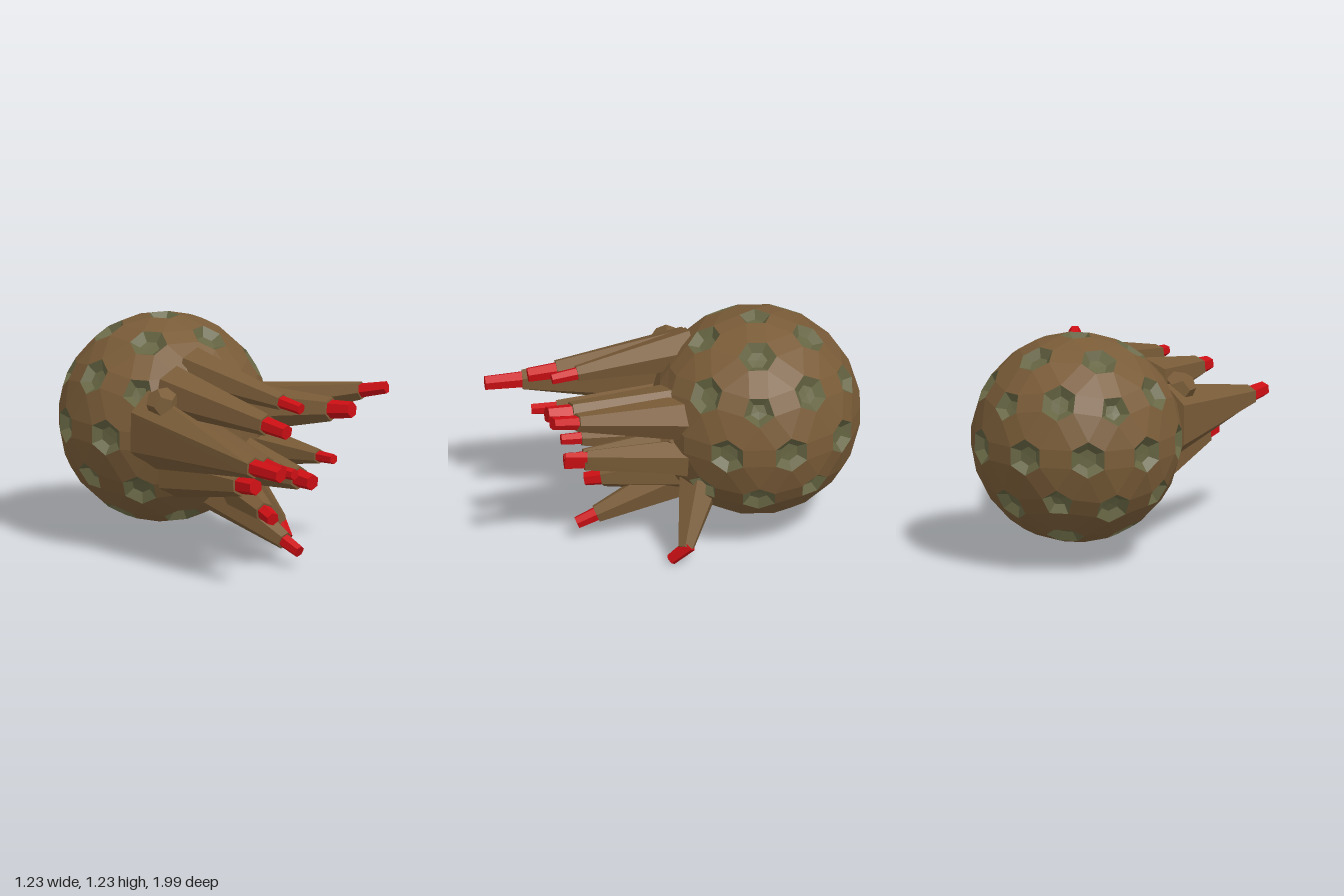
import * as THREE from 'three';

const mat = (color) => new THREE.MeshStandardMaterial({ color, flatShading: true, roughness: 0.9 });
const V = (x, y, z) => new THREE.Vector3(x, y, z);

const CENTER = V(-0.05, 0.68, -0.44);
const RADIUS = 0.565;

// Builds a flat-shaded mesh from a list of polygons, each turned outward from the ball
function polygonMesh(name, polygons, material) {
  const points = [];
  for (const poly of polygons) {
    const n = V(0, 0, 0).crossVectors(poly[1].clone().sub(poly[0]), poly[2].clone().sub(poly[0]));
    const p = n.dot(poly[0]) < 0 ? [...poly].reverse() : poly;
    for (let i = 1; i < p.length - 1; i++) points.push(p[0], p[i], p[i + 1]);
  }
  const geometry = new THREE.BufferGeometry().setFromPoints(points);
  geometry.computeVertexNormals();
  const mesh = new THREE.Mesh(geometry, material);
  mesh.name = name;
  return mesh;
}

// Faceted ball with a sunken pit around each corner of a subdivided icosahedron
function makeBody(brown, green) {
  const base = new THREE.IcosahedronGeometry(1, 1).rotateZ(-Math.atan(2 / (1 + Math.sqrt(5))));
  const pos = base.attributes.position;
  const shell = [], pits = [], edges = new Map();
  const key = (v) => v.toArray().map((n) => Math.round(n * 100) + 0).join();
  const onBall = (v, r = RADIUS) => v.clone().normalize().multiplyScalar(r);

  for (let i = 0; i < pos.count; i += 3) {
    const corners = [0, 1, 2].map((k) => V(0, 0, 0).fromBufferAttribute(pos, i + k));
    const mid = V(0, 0, 0).add(corners[0]).add(corners[1]).add(corners[2]).divideScalar(3);
    const rim = corners.map((c) => onBall(c.clone().lerp(mid, 0.52)));
    const floor = corners.map((c) => onBall(c.clone().lerp(mid, 0.3), RADIUS - 0.045));
    shell.push(rim);
    for (let k = 0; k < 3; k++) {
      const ends = [k, (k + 1) % 3].map((j) => ({ id: key(corners[j]), c: corners[j], rim: rim[j], floor: floor[j] }));
      ends.sort((a, b) => (a.id < b.id ? -1 : 1));
      const id = ends[0].id + '|' + ends[1].id;
      if (!edges.has(id)) { edges.set(id, ends); continue; }
      const other = edges.get(id);
      shell.push([ends[0].rim, ends[1].rim, other[1].rim, other[0].rim]);
      ends.forEach((e, j) => {
        const o = other[j];
        if (e.c.z > 0.8) { // no pits where the spikes grow
          shell.push([e.rim, o.rim, onBall(e.c, RADIUS - 0.01)]);
          return;
        }
        pits.push([e.rim, o.rim, o.floor, e.floor]);
        pits.push([e.floor, o.floor, onBall(e.c, RADIUS - 0.05)]);
      });
    }
  }
  const group = new THREE.Group();
  group.name = 'body';
  group.add(polygonMesh('shell', shell, brown), polygonMesh('pits', pits, green));
  group.position.copy(CENTER);
  return group;
}

// Tapered six-sided prism between two points, optionally taller at its root
function prism(name, a, b, ra, rb, material, stretch = 1) {
  const dir = b.clone().sub(a);
  const geometry = new THREE.CylinderGeometry(rb, ra, dir.length(), 6);
  geometry.translate(0, dir.length() / 2, 0);
  geometry.applyQuaternion(new THREE.Quaternion().setFromUnitVectors(V(0, 1, 0), dir.clone().normalize()));
  const p = geometry.attributes.position;
  for (let i = 0; i < p.count; i++) {
    const v = V(0, 0, 0).fromBufferAttribute(p, i);
    if (v.dot(dir) < dir.lengthSq() / 2) p.setY(i, v.y * stretch);
  }
  geometry.computeVertexNormals();
  const mesh = new THREE.Mesh(geometry, material);
  mesh.position.copy(a);
  mesh.name = name;
  return mesh;
}

// root, tip, thickness at the red end, then optional root stretch and bend
const SPIKES = [
  [[-0.41, 0.73, -0.12], [-0.38, 0.69, 0.99], 0.06, 1.6, [-0.015, 0, 0]],
  [[-0.27, 0.93, -0.08], [-0.165, 0.85, 0.77], 0.06],
  [[-0.12, 1.02, -0.1], [0.025, 0.925, 0.65], 0.045],
  [[0.12, 0.79, -0.02], [0.34, 0.88, 0.69], 0.065],
  [[0.22, 0.78, -0.06], [0.59, 0.96, 0.67], 0.05],
  [[-0.28, 0.49, -0.04], [-0.275, 0.54, 0.64], 0.065],
  [[-0.16, 0.68, 0], [-0.18, 0.635, 0.75], 0.045],
  [[-0.06, 0.55, 0], [0.02, 0.555, 0.6], 0.045],
  [[0.1, 0.52, 0], [0.15, 0.49, 0.59], 0.065],
  [[0.26, 0.56, -0.06], [0.295, 0.595, 0.59], 0.04],
  [[0.06, 0.4, -0.04], [-0.025, 0.29, 0.47], 0.055],
  [[0.02, 0.34, -0.06], [0.115, 0.1, 0.52], 0.05],
  [[0.21, 0.38, -0.13], [0.42, 0.03, 0.03], 0.045, 1, [0.05, 0.01, -0.05]],
];

// Brown shaft with a red end piece
function makeSpike([root, tip, r, stretch = 1, bend = [0, 0, 0]], brown, red) {
  const spike = new THREE.Group();
  spike.name = 'spike';
  const a = V(...root), c = V(...tip);
  const b = a.clone().lerp(c, 0.82).add(V(...bend));
  spike.add(prism('spikeShaft', a, b, r + 0.075, r, brown, stretch));
  spike.add(prism('spikeTip', b.clone().lerp(c, -0.3), c, r * 0.82, r * 0.68, red));
  return spike;
}

export function createModel() {
  const brown = mat(0x7a5c38), green = mat(0x666543), red = mat(0xcc0f14);
  const model = new THREE.Group();
  model.name = 'spikedBall';
  model.add(makeBody(brown, green));

  const spikes = new THREE.Group();
  spikes.name = 'spikes';
  for (const spec of SPIKES) spikes.add(makeSpike(spec, brown, red));
  model.add(spikes);

  // Low rocky lumps between the spike roots
  const lumps = new THREE.Group();
  lumps.name = 'lumps';
  const roots = [[-0.42, 0.9, 0.02], [-0.13, 0.46, 0.03], [0.02, 0.72, 0], [-0.1, 0.86, 0], [0.2, 0.66, 0]];
  roots.forEach(([x, y, z], i) => {
    const lump = new THREE.Mesh(new THREE.DodecahedronGeometry(0.09), brown);
    lump.name = 'lump';
    lump.position.set(x, y, z);
    lump.rotation.set(i, i * 2, 0);
    lumps.add(lump);
  });
  model.add(lumps);
  return model;
}
